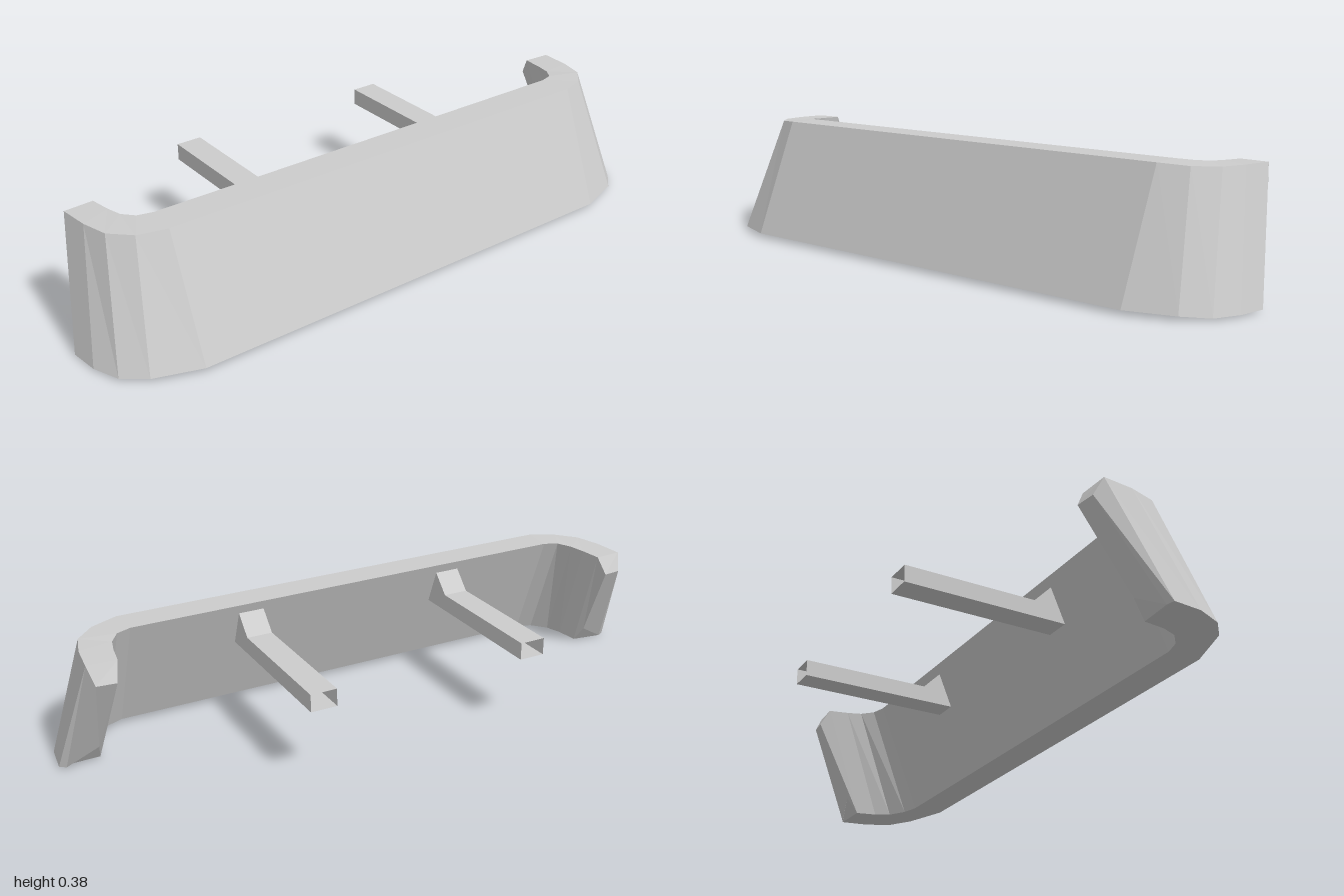
import * as THREE from 'three';

// Skins a run of equal-sized rings; each ring runs clockwise seen from the start.
function loft(rings, capped) {
  const pos = [];
  const quad = (a, b, c, d) => pos.push(...a, ...b, ...c, ...a, ...c, ...d);
  for (let i = 0; i < rings.length - 1; i++) {
    const r = rings[i], s = rings[i + 1];
    for (let j = 0; j < r.length; j++) {
      const k = (j + 1) % r.length;
      quad(r[j], r[k], s[k], s[j]);
    }
  }
  if (capped) {
    const [a, b, c, d] = rings[0];
    quad(a, d, c, b);
    quad(...rings[rings.length - 1]);
  }
  const g = new THREE.BufferGeometry();
  g.setAttribute('position', new THREE.Float32BufferAttribute(pos, 3));
  g.computeVertexNormals();
  return g;
}

export function createModel() {
  const group = new THREE.Group();
  const grey = new THREE.MeshStandardMaterial({ color: 0xcccccc, flatShading: true, side: THREE.DoubleSide });
  grey.name = 'light grey';

  // Cross-sections of the left half, from the straight bar round to the end:
  // top outer, top inner, bottom inner, bottom outer
  const half = [
    [[0.75, 0.38, 0.217], [0.74, 0.38, 0.115], [0.75, 0.013, 0.262], [0.75, 0.013, 0.366]],
    [[0.835, 0.375, 0.187], [0.785, 0.378, 0.1], [0.8, 0.011, 0.245], [0.893, 0.012, 0.316]],
    [[0.893, 0.373, 0.127], [0.813, 0.374, 0.06], [0.845, 0.007, 0.205], [0.957, 0.006, 0.256]],
    [[0.915, 0.372, 0.045], [0.825, 0.372, 0.01], [0.865, 0.005, 0.155], [0.99, 0.005, 0.175]],
    [[0.925, 0.37, -0.053], [0.835, 0.37, -0.058], [0.875, 0.003, 0.085], [1, 0.003, 0.083]],
    [[0.91, 0.315, -0.081], [0.85, 0.315, -0.088], [0.885, 0.057, 0.047], [0.98, 0, 0.074]],
  ];
  const mirrored = half.map(ring => ring.map(([x, y, z]) => [-x, y, z]));
  const bumper = new THREE.Mesh(loft([...half.slice().reverse(), ...mirrored], true), grey);
  bumper.name = 'bumperBar';
  group.add(bumper);

  // Hollow mounting arms, open at the back and flared up where they meet the bar
  const armRing = (top, bottom, zTop, zBottom) => [
    [0.041, top, zTop], [-0.041, top, zTop], [-0.041, bottom, zBottom], [0.041, bottom, zBottom],
  ];
  const armGeometry = loft([
    armRing(0.29, 0.236, -0.365, -0.365),
    armRing(0.29, 0.236, 0.07, 0.07),
    armRing(0.35, 0.236, 0.128, 0.175),
  ], false);
  for (const side of [1, -1]) {
    const arm = new THREE.Mesh(armGeometry, grey);
    arm.name = side > 0 ? 'leftMountingArm' : 'rightMountingArm';
    arm.position.x = side * 0.353;
    group.add(arm);
  }
  return group;
}
